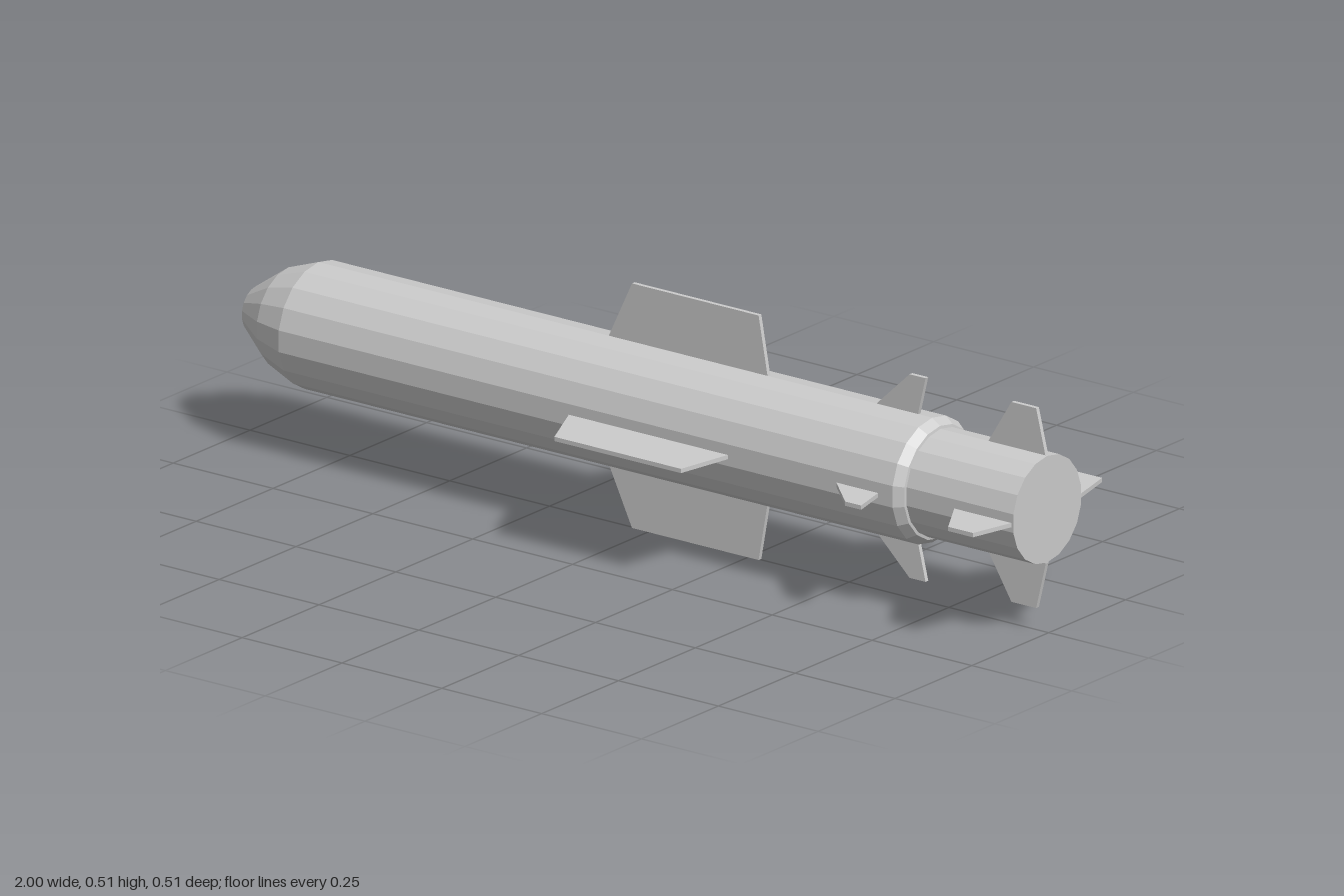
import * as THREE from 'three';

const SIDES = 18;
const AXIS_Y = 0.257;
const material = new THREE.MeshStandardMaterial({ color: 0xcccccc, flatShading: true });

// Faceted solid of revolution along x, from [x, radius] pairs
function turned(name, profile) {
  const points = profile.map(([x, r]) => new THREE.Vector2(r, x));
  const geometry = new THREE.LatheGeometry(points, SIDES, Math.PI / 2);
  geometry.rotateZ(-Math.PI / 2);
  const mesh = new THREE.Mesh(geometry, material);
  mesh.name = name;
  mesh.position.set(0, 0.004, 0.005);
  return mesh;
}

// Four thin fins around the x axis, from an [x, radius] outline
function finSet(name, outline) {
  const thickness = 0.009;
  const shape = new THREE.Shape(outline.map(([x, r]) => new THREE.Vector2(x, r)));
  const geometry = new THREE.ExtrudeGeometry(shape, { depth: thickness, bevelEnabled: false });
  geometry.translate(0, 0, -thickness / 2);
  const set = new THREE.Group();
  set.name = name + 's';
  for (let i = 0; i < 4; i++) {
    const fin = new THREE.Mesh(geometry, material);
    fin.name = name;
    fin.rotation.x = i * Math.PI / 2;
    set.add(fin);
  }
  return set;
}

export function createModel() {
  const model = new THREE.Group();
  model.name = 'missile';

  // Rounded nose, long body and bevelled rear shoulder
  model.add(turned('body', [
    [-1, 0], [-0.995, 0.025], [-0.98, 0.048], [-0.9, 0.104], [-0.825, 0.131],
    [0.712, 0.131], [0.732, 0.118], [0.735, 0.1],
  ]));

  // Narrower tail section with a flat end
  model.add(turned('tail', [[0.7, 0.112], [1, 0.112], [1, 0]]));

  // Fins, with roots sunk into the body
  model.add(finSet('mainWing', [
    [-0.1, 0.1], [0.3, 0.1], [0.3, 0.131], [0.277, 0.257], [-0.04, 0.257], [-0.1, 0.131],
  ]));
  model.add(finSet('middleFin', [
    [0.565, 0.1], [0.675, 0.1], [0.675, 0.131], [0.695, 0.214], [0.655, 0.214], [0.565, 0.128],
  ]));
  model.add(finSet('tailFin', [
    [0.85, 0.09], [0.996, 0.09], [0.996, 0.112], [0.972, 0.21], [0.91, 0.21], [0.85, 0.112],
  ]));

  model.position.y = AXIS_Y;
  const root = new THREE.Group();
  root.add(model);
  return root;
}
